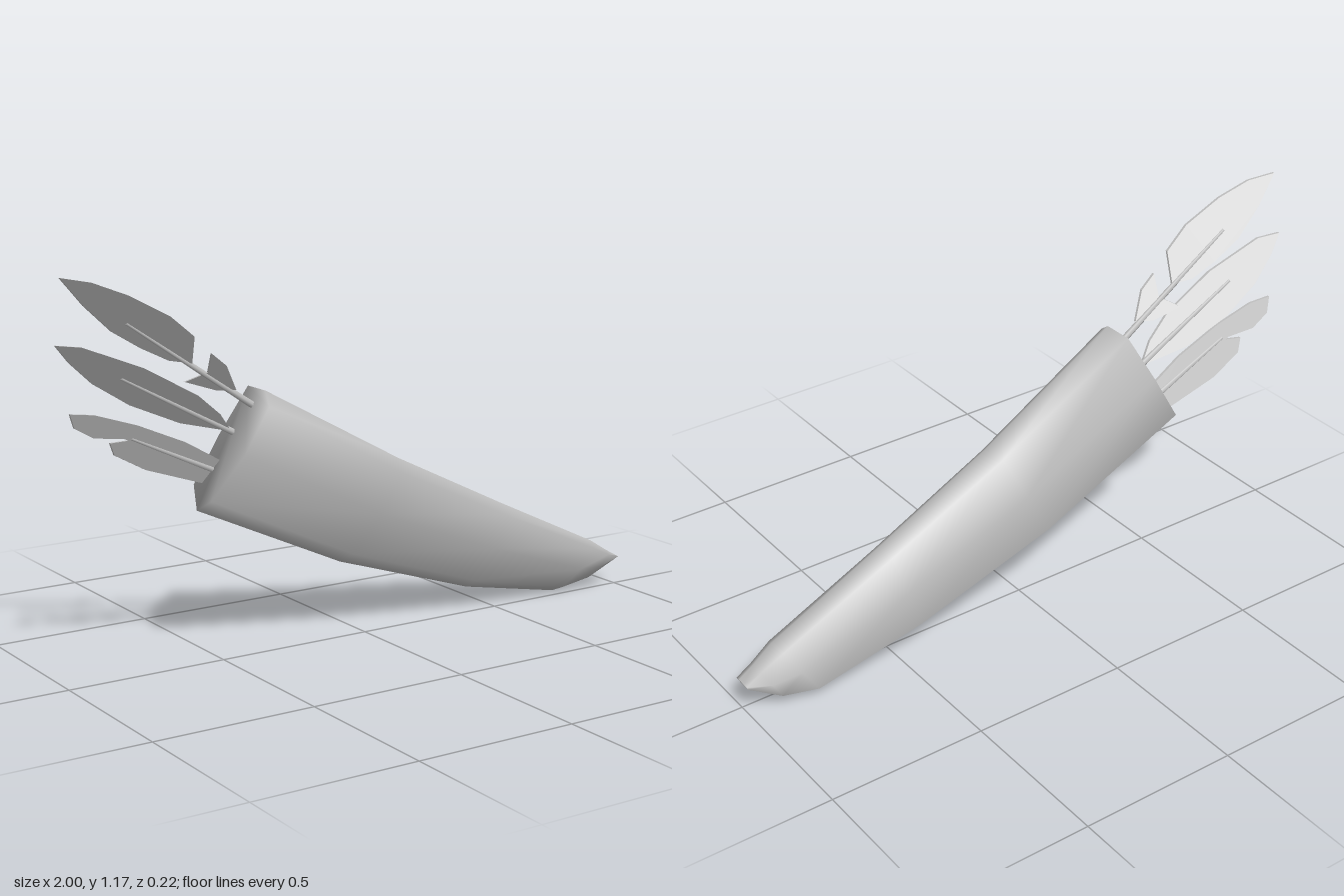
import * as THREE from 'three';

const grey = new THREE.MeshStandardMaterial({ color: 0xc0c0c0, side: THREE.DoubleSide });
grey.name = 'plain grey';

function add(group, name, geometry) {
  const mesh = new THREE.Mesh(geometry, grey);
  mesh.name = name;
  group.add(mesh);
}

// Closed loft through rings of equal length, with shared smooth normals
function loft(rings) {
  const n = rings[0].length, pos = rings.flat(2), index = [];
  for (let i = 0; i < rings.length - 1; i++) {
    for (let j = 0; j < n; j++) {
      const k = (j + 1) % n, a = i * n + j, b = i * n + k;
      index.push(a, b, a + n, b, b + n, a + n);
    }
  }
  const last = (rings.length - 1) * n;
  for (let j = 1; j < n - 1; j++) {
    index.push(0, j + 1, j, last, last + j, last + j + 1);
  }
  const geo = new THREE.BufferGeometry();
  geo.setAttribute('position', new THREE.Float32BufferAttribute(pos, 3));
  geo.setIndex(index);
  geo.computeVertexNormals();
  return geo;
}

// Quiver section: fraction from top to bottom, side position from back (-1) to front (1)
const SECTION = [[0, -0.4], [0, 0.5], [0.11, 1], [0.5, 0.8], [0.9, 0.15], [1, -0.35], [0.83, -1], [0.42, -0.8]];

// Stations from mouth to toe: top x, top y, bottom x, bottom y, front z, back z
const STATIONS = [
  [-0.38, 0.805, -0.56, 0.455, 0.11, -0.11],
  [0.1, 0.545, -0.06, 0.225, 0.08, -0.11],
  [0.5, 0.35, 0.42, 0.07, 0.065, -0.1],
  [0.88, 0.17, 0.77, 0.003, 0.055, -0.09],
  [0.95, 0.128, 0.89, 0.025, 0.035, -0.07],
  [1, 0.1, 0.995, 0.088, 0.02, -0.04],
];

// Arrows: shaft from nock to mouth (x, y), depth, tilt of the vanes, and vane outlines
const ARROWS = [
  {
    name: 'upper', from: [-0.8, 1.03], to: [-0.38, 0.745], z: 0.015, tilt: 0.9,
    vanes: [
      [[-1, 1.17], [-0.92, 1.155], [-0.82, 1.115], [-0.7, 1.05], [-0.62, 0.985], [-0.6, 0.9],
        [-0.66, 0.91], [-0.74, 0.95], [-0.83, 1.005], [-0.92, 1.085]],
      [[-0.56, 0.93], [-0.51, 0.89], [-0.46, 0.81], [-0.51, 0.81], [-0.6, 0.84], [-0.55, 0.87]],
    ],
  },
  {
    name: 'middle', from: [-0.8, 0.87], to: [-0.43, 0.67], z: -0.025, tilt: 0.85,
    vanes: [
      [[-1, 0.98], [-0.93, 0.972], [-0.75, 0.9], [-0.58, 0.805], [-0.5, 0.74], [-0.45, 0.68],
        [-0.6, 0.715], [-0.75, 0.78], [-0.87, 0.855], [-0.95, 0.925]],
    ],
  },
  {
    name: 'lower', from: [-0.76, 0.69], to: [-0.48, 0.56], z: -0.05, tilt: 0.5,
    vanes: [
      [[-0.95, 0.78], [-0.88, 0.772], [-0.75, 0.73], [-0.6, 0.665], [-0.48, 0.595], [-0.5, 0.56],
        [-0.65, 0.62], [-0.78, 0.69], [-0.87, 0.7], [-0.93, 0.735]],
      [[-0.82, 0.68], [-0.76, 0.685], [-0.62, 0.62], [-0.5, 0.56], [-0.52, 0.525], [-0.7, 0.585], [-0.8, 0.64]],
    ],
  },
];

// Thin vane, leaning in depth with distance from the shaft line
function vane(outline, { from, to, z, tilt }) {
  const thick = 0.008;
  const geo = new THREE.ExtrudeGeometry(
    new THREE.Shape(outline.map(([x, y]) => new THREE.Vector2(x, y))),
    { depth: thick, bevelEnabled: false });
  const dir = new THREE.Vector2(to[0] - from[0], to[1] - from[1]).normalize();
  const p = geo.attributes.position;
  for (let i = 0; i < p.count; i++) {
    const off = (p.getX(i) - from[0]) * -dir.y + (p.getY(i) - from[1]) * dir.x;
    p.setZ(i, p.getZ(i) - thick / 2 + z + tilt * off);
  }
  geo.computeVertexNormals();
  return geo;
}

// Slim shaft, tapered at the nock
function shaft({ from, to, z }) {
  const a = new THREE.Vector3(...from, z), b = new THREE.Vector3(...to, z);
  const along = b.clone().sub(a);
  const geo = new THREE.CylinderGeometry(0.011, 0.006, along.length(), 6);
  geo.applyQuaternion(new THREE.Quaternion().setFromUnitVectors(
    new THREE.Vector3(0, 1, 0), along.clone().normalize()));
  const mid = a.add(b).multiplyScalar(0.5);
  return geo.translate(mid.x, mid.y, mid.z);
}

export function createModel() {
  const model = new THREE.Group();
  model.name = 'quiverWithArrows';

  // Tapered quiver body with closed mouth and toe
  add(model, 'quiver', loft(STATIONS.map(([tx, ty, bx, by, front, back]) =>
    SECTION.map(([f, w]) => [
      tx + (bx - tx) * f,
      ty + (by - ty) * f,
      (front + back) / 2 + w * (front - back) / 2,
    ]))));

  // Arrows standing out of the mouth
  for (const arrow of ARROWS) {
    const group = new THREE.Group();
    group.name = arrow.name + 'Arrow';
    add(group, 'shaft', shaft(arrow));
    arrow.vanes.forEach((outline) => add(group, 'vane', vane(outline, arrow)));
    model.add(group);
  }
  return model;
}
